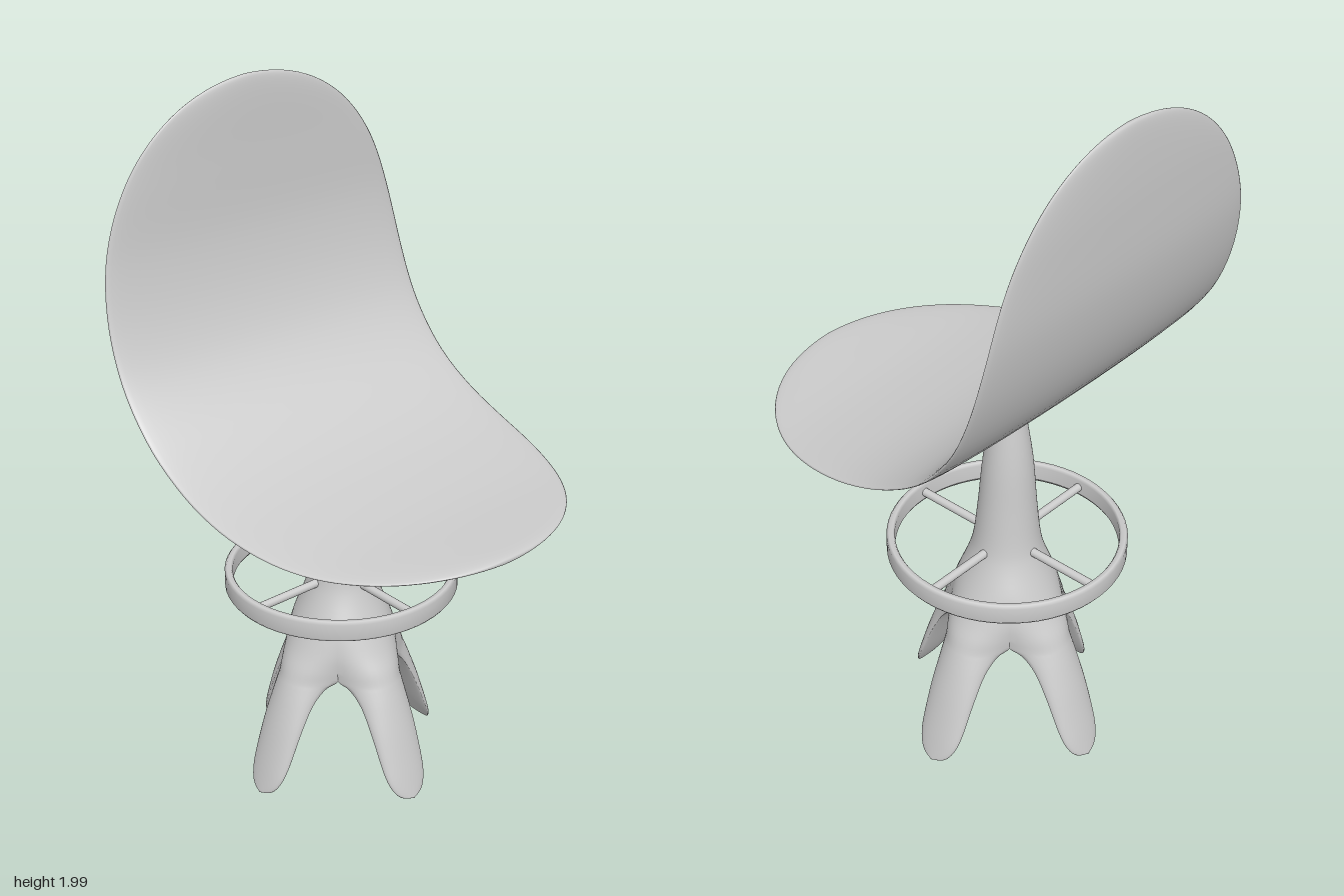
import * as THREE from 'three';
import { mergeGeometries, mergeVertices } from 'three/addons/utils/BufferGeometryUtils.js';

const material = new THREE.MeshStandardMaterial({ color: 0xcccccc, side: THREE.DoubleSide });

function addMesh(parent, name, geometry) {
  const mesh = new THREE.Mesh(geometry, material);
  mesh.name = name;
  parent.add(mesh);
  return mesh;
}

// Skin a list of cross-sections, each an array of [x, y, z]
function loft(rows) {
  const n = rows[0].length;
  const index = [];
  for (let i = 0; i < rows.length - 1; i++) {
    for (let j = 0; j < n - 1; j++) {
      const a = i * n + j, b = a + 1, c = a + n, d = c + 1;
      index.push(a, b, c, b, d, c);
    }
  }
  const g = new THREE.BufferGeometry();
  g.setAttribute('position', new THREE.Float32BufferAttribute(rows.flat(2), 3));
  g.setIndex(index);
  return g;
}

function smooth(geometry) {
  const g = mergeVertices(geometry, 1e-4);
  g.computeVertexNormals();
  return g;
}

// Bent seat and back in one shell, with an oval outline and thinning edges
function seatGeometry() {
  const profile = new THREE.CatmullRomCurve3([
    [0.525, 0.965], [0.4, 0.96], [0.25, 0.962], [0.1, 0.98], [-0.05, 1.012], [-0.18, 1.06],
    [-0.3, 1.135], [-0.4, 1.25], [-0.46, 1.38], [-0.5, 1.56], [-0.51, 1.77], [-0.508, 2.0],
  ].map(([x, y]) => new THREE.Vector3(x, y, 0)));
  const rows = [], steps = 72, sides = 48;
  for (let i = 0; i <= steps; i++) {
    const t = (1 - Math.cos(Math.PI * i / steps)) / 2;
    const p = profile.getPointAt(t), d = profile.getTangentAt(t);
    const front = Math.min(1, Math.max(0, (p.x + 0.2) / 0.725)) ** 2.8;
    const top = Math.min(1, Math.max(0, (p.y - 1.15) / 0.85)) ** 3.3;
    const fall = Math.sqrt((1 - front) * (1 - top));
    const row = [];
    for (let j = 0; j <= sides; j++) {
      const a = j / sides * Math.PI * 2;
      const h = 0.021 * Math.sqrt(fall) * Math.sin(a);
      row.push([p.x + d.y * h, p.y - d.x * h, 0.515 * fall * Math.cos(a)]);
    }
    rows.push(row);
  }
  return smooth(loft(rows));
}

// One quarter of the pedestal, running from the stem down into a leg on +x.
// Columns: height, reach, half width, outer bulge, inner bulge, arc angle
function pedestalGeometry() {
  const q = Math.PI / 4;
  const round = (y, r) => [y, r, r * Math.sin(q), r * (1 - Math.cos(q)), 0, q];
  const table = [
    round(1.06, 0.042), round(0.9, 0.067), round(0.75, 0.08), round(0.64, 0.092),
    round(0.58, 0.107), round(0.5, 0.138),
    [0.43, 0.168, 0.108, 0.06, 0, 0.87],
    [0.38, 0.194, 0.108, 0.086, 0, 1.0],
    [0.345, 0.208, 0.105, 0.103, 0, 1.15],
    [0.325, 0.216, 0.09, 0.077, 0.005, 1.3],
    [0.28, 0.233, 0.08, 0.055, 0.008, 1.45],
    [0.2, 0.26, 0.076, 0.04, 0.01, 1.57],
    [0.1, 0.29, 0.071, 0.027, 0.01, 1.57],
    [0.05, 0.304, 0.06, 0.018, 0.008, 1.57],
    [0.02, 0.312, 0.038, 0.01, 0.004, 1.57],
    [0.008, 0.315, 0, 0, 0, 1.57],
  ];
  const spline = new THREE.CubicInterpolant(
    table.map((_, i) => i), new Float32Array(table.flat()), 6);
  const sub = 4, sides = 16, archRow = 8;
  const outer = [], inner = [];
  for (let i = 0; i <= (table.length - 1) * sub; i++) {
    const [y, reach, width, bulge, back, k] = spline.evaluate(i / sub);
    const out = [], inn = [];
    for (let j = 0; j <= sides; j++) {
      const a = (j / sides * 2 - 1) * k;
      const s = width * Math.sin(a) / Math.sin(k);
      const f = (Math.cos(a) - Math.cos(k)) / (1 - Math.cos(k));
      out.push([reach - bulge * (1 - f), y, s]);
      inn.push([reach - bulge - back * f, y, -s]);
    }
    outer.push(out);
    if (i >= archRow * sub) inner.push(inn);
  }
  const quarter = mergeGeometries([loft(outer), loft(inner)]);
  const parts = [0, 1, 2, 3].map(i => quarter.clone().rotateY(i * Math.PI / 2));
  return smooth(mergeGeometries(parts));
}

export function createModel() {
  const model = new THREE.Group();
  model.name = 'stool';
  addMesh(model, 'seatShell', seatGeometry());

  const base = new THREE.Group();
  base.name = 'base';
  base.position.set(-0.175, 0, -0.028);
  model.add(base);
  addMesh(base, 'pedestalWithLegs', pedestalGeometry());

  // Closes the hollow between the legs
  const vault = new THREE.ConeGeometry(0.148, 0.04, 4, 1, true);
  vault.rotateY(Math.PI / 4);
  addMesh(base, 'legVault', vault).position.y = 0.365;

  // Foot ring: a flat band with eased corners
  const band = [
    [0.307, -0.022], [0.312, -0.03], [0.324, -0.03], [0.33, -0.022],
    [0.33, 0.022], [0.324, 0.03], [0.312, 0.03], [0.307, 0.022], [0.307, -0.022],
  ].map(([r, y]) => new THREE.Vector2(r, y));
  addMesh(base, 'footRing', new THREE.LatheGeometry(band, 64)).position.y = 0.618;

  for (let i = 0; i < 4; i++) {
    const spoke = new THREE.CylinderGeometry(0.012, 0.012, 0.25, 16);
    spoke.rotateZ(Math.PI / 2).translate(0.19, 0.618, 0).rotateY(i * Math.PI / 2);
    addMesh(base, 'ringSpoke', spoke);
  }
  return model;
}
